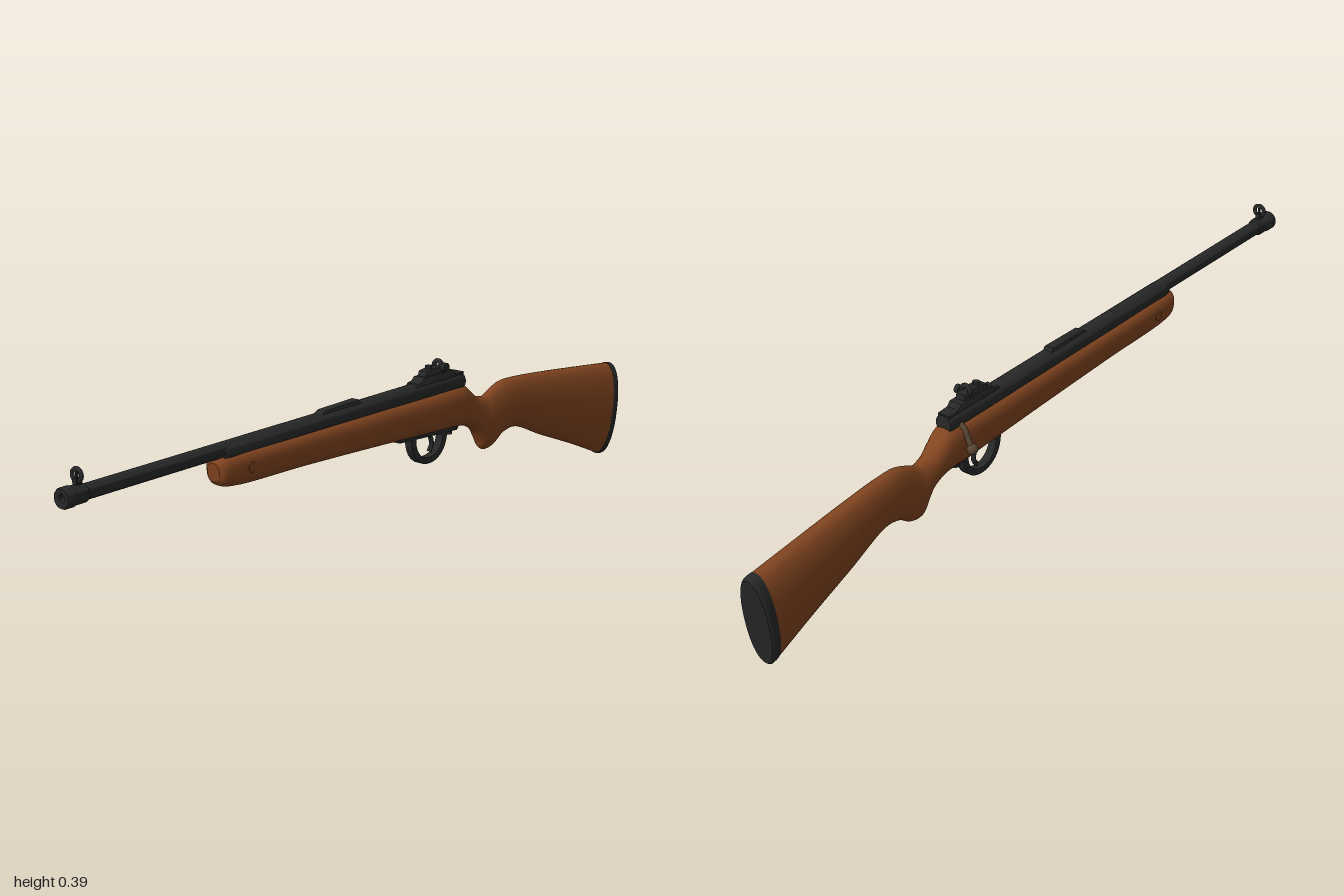
import * as THREE from 'three';
import { toCreasedNormals } from 'three/addons/utils/BufferGeometryUtils.js';

const walnut = new THREE.MeshStandardMaterial({ name: 'walnut', color: 0x80441f });
const blackMetal = new THREE.MeshStandardMaterial({ name: 'blackMetal', color: 0x262727 });
const boltBrown = new THREE.MeshStandardMaterial({ name: 'boltBrown', color: 0x574434 });

// Smooth skin through superellipse sections: [xTop, xBottom, top, bottom, halfWidth, power]
function loft(sections, steps, sides = 40) {
  const pos = [], idx = [];
  const columns = [];
  for (let j = 0; j < sides; j++) {
    const a = (j / sides) * Math.PI * 2, c = Math.cos(a), s = Math.sin(a);
    const pts = sections.map(([xt, xb, top, bot, hw, n]) => {
      const z = hw * Math.sign(c) * Math.abs(c) ** (2 / n);
      const t = (Math.sign(s) * Math.abs(s) ** (2 / n) + 1) / 2;
      return new THREE.Vector3(xb + t * (xt - xb), bot + t * (top - bot), z);
    });
    columns.push(new THREE.CatmullRomCurve3(pts));
  }
  for (let i = 0; i <= steps; i++)
    for (const col of columns) pos.push(...col.getPoint(i / steps).toArray());
  for (let i = 0; i < steps; i++)
    for (let j = 0; j < sides; j++) {
      const k = (j + 1) % sides, a = i * sides, b = a + sides;
      idx.push(a + j, b + j, a + k, a + k, b + j, b + k);
    }
  // flat end caps
  for (const [t, end] of [[0, 0], [1, 1]]) {
    const ring = columns.map((col) => col.getPoint(t));
    const mid = ring.reduce((m, p) => m.add(p), new THREE.Vector3()).divideScalar(sides);
    const base = pos.length / 3;
    pos.push(...mid.toArray());
    ring.forEach((p) => pos.push(...p.toArray()));
    for (let j = 0; j < sides; j++) {
      const p = base + 1 + j, q = base + 1 + ((j + 1) % sides);
      idx.push(base, end ? q : p, end ? p : q);
    }
  }
  const g = new THREE.BufferGeometry();
  g.setAttribute('position', new THREE.Float32BufferAttribute(pos, 3));
  g.setIndex(idx);
  g.computeVertexNormals();
  return g;
}

// Turned part along x: points are [x, radius]
function turned(points, sides = 32) {
  const g = new THREE.LatheGeometry(points.map(([x, r]) => new THREE.Vector2(r, x)), sides);
  return toCreasedNormals(g.rotateZ(-Math.PI / 2), 0.6);
}

// Side outline in x,y extruded symmetrically across z
function plate(shape, width) {
  const g = new THREE.ExtrudeGeometry(shape, {
    depth: width - 0.004, bevelEnabled: true, bevelSize: 0.002, bevelThickness: 0.002,
    bevelSegments: 2, curveSegments: 20,
  });
  return toCreasedNormals(g.translate(0, 0, -width / 2 + 0.002), 0.6);
}

const outline = (pts) => new THREE.Shape(pts.map(([x, y]) => new THREE.Vector2(x, y)));

export function createModel() {
  const model = new THREE.Group();
  model.name = 'rifle';
  const add = (name, geometry, material, x = 0, y = 0, z = 0) => {
    const m = new THREE.Mesh(geometry, material);
    m.name = name;
    m.position.set(x, y, z + 0.015);
    model.add(m);
    return m;
  };

  // Wooden stock, from the rounded fore-end to the butt
  add('stock', loft([
    [-0.54, -0.536, 0.305, 0.262, 0.018, 2.3],
    [-0.532, -0.525, 0.314, 0.25, 0.029, 2.6],
    [-0.5, -0.495, 0.318, 0.243, 0.035, 2.8],
    [-0.25, -0.25, 0.317, 0.236, 0.037, 3],
    [0, 0, 0.316, 0.226, 0.038, 3],
    [0.2, 0.2, 0.314, 0.216, 0.038, 3],
    [0.3, 0.3, 0.314, 0.211, 0.037, 3],
    [0.345, 0.345, 0.312, 0.206, 0.034, 2.7],
    [0.375, 0.375, 0.292, 0.197, 0.031, 2.4],
    [0.405, 0.405, 0.27, 0.178, 0.028, 2.2],
    [0.425, 0.422, 0.264, 0.152, 0.027, 2.2],
    [0.445, 0.438, 0.261, 0.125, 0.026, 2.2],
    [0.475, 0.472, 0.273, 0.126, 0.026, 2.2],
    [0.515, 0.515, 0.286, 0.15, 0.027, 2.2],
    [0.57, 0.57, 0.286, 0.156, 0.029, 2.2],
    [0.7, 0.69, 0.275, 0.108, 0.034, 2.2],
    [0.85, 0.825, 0.259, 0.055, 0.038, 2.2],
    [0.975, 0.94, 0.245, 0.006, 0.041, 2.2],
  ], 110), walnut);

  // Rubber butt pad
  add('buttPad', loft([
    [0.975, 0.938, 0.246, 0.005, 0.041, 2.2],
    [0.985, 0.948, 0.245, 0.002, 0.0415, 2.2],
    [0.995, 0.957, 0.242, 0.002, 0.041, 2.2],
    [1, 0.962, 0.236, 0.008, 0.037, 2.2],
  ], 12), blackMetal);

  // Fore-end screws on both sides
  for (const side of [-1, 1]) {
    const g = new THREE.CylinderGeometry(0.012, 0.013, 0.006, 20).rotateX(Math.PI / 2);
    add('foreEndScrew', side > 0 ? g : g.rotateY(Math.PI), walnut, -0.45, 0.282, side * 0.036);
  }

  // Barrel with muzzle sleeve and open bore
  add('barrel', turned([
    [-0.94, 0], [-0.94, 0.009], [-0.998, 0.009], [-1, 0.012], [-1, 0.022], [-0.996, 0.024],
    [-0.975, 0.024], [-0.972, 0.022], [-0.938, 0.022], [-0.934, 0.018], [-0.3, 0.018], [-0.3, 0],
  ]), blackMetal, 0, 0.329);

  // Receiver tube lying in the stock
  add('receiver', turned([
    [-0.52, 0], [-0.52, 0.02], [-0.5, 0.024], [0.335, 0.025], [0.345, 0.022], [0.345, 0],
  ]), blackMetal, 0, 0.322);
  add('receiverRib', plate(outline([
    [-0.2, 0.335], [-0.17, 0.349], [-0.05, 0.351], [-0.035, 0.335],
  ]), 0.024), blackMetal);

  // Front sight: post and ring hood
  add('frontSightPost', new THREE.BoxGeometry(0.016, 0.024, 0.012), blackMetal, -0.953, 0.352);
  add('frontSightHood', new THREE.TorusGeometry(0.014, 0.005, 10, 28).rotateY(Math.PI / 2),
    blackMetal, -0.953, 0.371);
  add('frontSightBlade', new THREE.BoxGeometry(0.006, 0.022, 0.004), blackMetal, -0.953, 0.368);

  // Rear peep sight: stepped base, slide, eyepiece and adjusting knobs
  add('rearSightBase', plate(outline([
    [0.15, 0.33], [0.165, 0.346], [0.18, 0.348], [0.19, 0.357], [0.3, 0.357], [0.31, 0.346],
    [0.342, 0.344], [0.342, 0.318], [0.15, 0.318],
  ]), 0.034), blackMetal);
  add('rearSightSlide', plate(outline([
    [0.195, 0.35], [0.205, 0.369], [0.235, 0.373], [0.28, 0.37], [0.285, 0.35],
  ]), 0.026), blackMetal);
  add('rearSightEyepiece', new THREE.TorusGeometry(0.012, 0.006, 10, 28).rotateY(Math.PI / 2),
    blackMetal, 0.262, 0.374);
  add('elevationKnob', new THREE.CylinderGeometry(0.009, 0.009, 0.014, 20), blackMetal, 0.225, 0.374);
  add('windageKnob', new THREE.CylinderGeometry(0.011, 0.011, 0.012, 20).rotateX(Math.PI / 2),
    blackMetal, 0.265, 0.372, 0.019);

  // Trigger guard: mounting strap and rounded bow
  add('guardStrap', plate(outline([
    [0.1, 0.224], [0.105, 0.214], [0.325, 0.202], [0.332, 0.212],
  ]), 0.024), blackMetal);
  const bow = new THREE.Shape();
  bow.moveTo(0.15, 0.216);
  bow.bezierCurveTo(0.145, 0.115, 0.287, 0.115, 0.286, 0.208);
  const opening = new THREE.Path();
  opening.moveTo(0.165, 0.21);
  opening.bezierCurveTo(0.162, 0.133, 0.272, 0.133, 0.271, 0.204);
  bow.holes.push(opening);
  add('triggerGuard', plate(bow, 0.022), blackMetal);
  add('guardScrew', new THREE.CylinderGeometry(0.01, 0.01, 0.016, 20), blackMetal, 0.304, 0.201);

  // Curved trigger
  add('trigger', new THREE.TubeGeometry(new THREE.CatmullRomCurve3([
    new THREE.Vector3(0.222, 0.215, 0), new THREE.Vector3(0.236, 0.195, 0),
    new THREE.Vector3(0.238, 0.178, 0), new THREE.Vector3(0.228, 0.163, 0),
  ]), 16, 0.006, 10), blackMetal);

  // Bolt handle reaching out and down on the right side
  add('boltHandle', new THREE.TubeGeometry(new THREE.CatmullRomCurve3([
    new THREE.Vector3(0.31, 0.318, -0.015), new THREE.Vector3(0.31, 0.305, -0.034),
    new THREE.Vector3(0.31, 0.28, -0.045), new THREE.Vector3(0.31, 0.262, -0.056),
  ]), 16, 0.007, 12), boltBrown);
  add('boltKnob', new THREE.SphereGeometry(0.0135, 20, 14), boltBrown, 0.31, 0.26, -0.056);

  return model;
}
